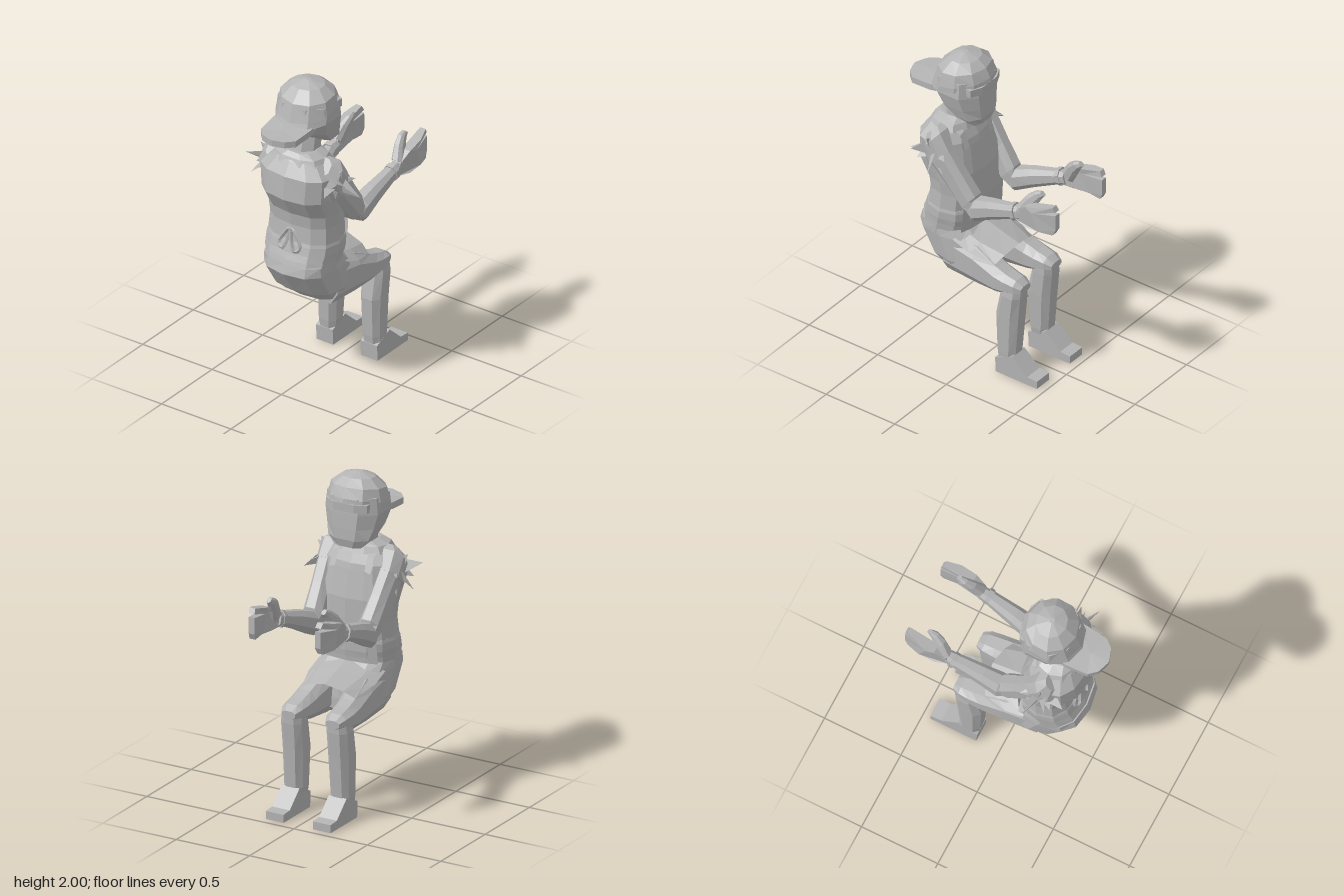
import * as THREE from 'three';

const grey = new THREE.MeshStandardMaterial({ color: 0xb4b4b4, flatShading: true });
grey.name = 'plain grey';
const sheet = new THREE.MeshStandardMaterial({ color: 0xb4b4b4, flatShading: true, side: THREE.DoubleSide });
sheet.name = 'plain grey sheet';

// Ring of n points around c; rx runs along x, v = [y, z] is the other half axis.
function ring(c, rx, v, n = 8, pow = 1, turn = 0.5) {
  const bend = (t) => Math.sign(t) * Math.pow(Math.abs(t), pow);
  return Array.from({ length: n }, (_, i) => {
    const a = ((i + turn) / n) * Math.PI * 2;
    const p = bend(Math.cos(a)), q = bend(Math.sin(a));
    return [c[0] + rx * p, c[1] + v[0] * q, c[2] + v[1] * q];
  });
}

// Horizontal ring given by its front (-z) and back (+z) limits; lift raises the front.
const level = (y, front, back, half, n, pow, turn, lift = 0) =>
  ring([0, y, (front + back) / 2], half, [-lift, (back - front) / 2], n, pow, turn);

// Closed skin over rings, always facing outwards.
function loft(rings) {
  const n = rings[0].length, pts = rings.flat(), idx = [];
  for (let r = 0; r < rings.length - 1; r++) {
    for (let i = 0; i < n; i++) {
      const a = r * n + i, b = r * n + ((i + 1) % n);
      idx.push(a, b, b + n, a, b + n, a + n);
    }
  }
  [0, rings.length - 1].forEach((r, end) => {
    const mid = pts.length;
    pts.push([0, 1, 2].map((k) => rings[r].reduce((s, p) => s + p[k], 0) / n));
    for (let i = 0; i < n; i++) {
      const a = r * n + i, b = r * n + ((i + 1) % n);
      idx.push(...(end ? [a, b, mid] : [b, a, mid]));
    }
  });
  const v = pts.map((p) => new THREE.Vector3(...p));
  let volume = 0;
  for (let i = 0; i < idx.length; i += 3) {
    volume += v[idx[i]].dot(v[idx[i + 1]].clone().cross(v[idx[i + 2]]));
  }
  if (volume < 0) idx.reverse();
  const g = new THREE.BufferGeometry().setFromPoints(v);
  g.setIndex(idx);
  g.computeVertexNormals();
  return g;
}

// Open sheet over rows of points.
function drape(rows) {
  const n = rows[0].length, idx = [];
  for (let r = 0; r < rows.length - 1; r++) {
    for (let i = 0; i < n - 1; i++) {
      const a = r * n + i;
      idx.push(a, a + 1, a + n + 1, a, a + n + 1, a + n);
    }
  }
  const g = new THREE.BufferGeometry().setFromPoints(rows.flat().map((p) => new THREE.Vector3(...p)));
  g.setIndex(idx);
  g.computeVertexNormals();
  return g;
}

// Side outline as [distance towards -z, y], extruded across x.
function sideCut(outline, x, width) {
  const shape = new THREE.Shape(outline.map((p) => new THREE.Vector2(...p)));
  const g = new THREE.ExtrudeGeometry(shape, { depth: width, bevelEnabled: false });
  return g.rotateY(Math.PI / 2).translate(x - width / 2, 0, 0);
}

function mirror(geometry) {
  const g = geometry.index ? geometry.toNonIndexed() : geometry.clone();
  g.scale(-1, 1, 1);
  const p = g.attributes.position;
  for (let i = 0; i < p.count; i += 3) {
    const a = new THREE.Vector3().fromBufferAttribute(p, i + 1);
    const b = new THREE.Vector3().fromBufferAttribute(p, i + 2);
    p.setXYZ(i + 1, b.x, b.y, b.z);
    p.setXYZ(i + 2, a.x, a.y, a.z);
  }
  g.computeVertexNormals();
  return g;
}

export function createModel() {
  const model = new THREE.Group();
  model.name = 'seatedFigure';
  const add = (name, g, material = grey) => {
    const m = new THREE.Mesh(g, material);
    m.name = name;
    model.add(m);
  };
  const pair = (name, g, material) => {
    add(name + 'Left', g, material);
    add(name + 'Right', mirror(g), material);
  };

  // Torso, pelvis and neck
  const body = [[0.8, 0.1, 0.48, 0.225], [0.96, 0.085, 0.42, 0.235], [1.1, 0.08, 0.405, 0.225],
    [1.18, 0.085, 0.415, 0.23], [1.3, 0.1, 0.485, 0.24], [1.45, 0.14, 0.472, 0.25],
    [1.53, 0.18, 0.42, 0.17], [1.56, 0.2, 0.385, 0.1]];
  add('torso', loft(body.map(([y, f, b, w]) => level(y, f, b, w, 12, 0.8, 0))));
  add('pelvis', loft([[0.86, 0.1, 0.465, 0.225], [0.8, 0.02, 0.485, 0.23], [0.65, 0, 0.385, 0.228],
    [0.58, 0, 0.3, 0.2], [0.53, 0.05, 0.22, 0.1]].map(([y, f, b, w]) => level(y, f, b, w, 12, 0.75, 0))));
  add('neck', loft([level(1.5, 0.19, 0.385, 0.1, 8), level(1.72, 0.145, 0.325, 0.09, 8)]));
  add('collar', loft([level(1.51, 0.16, 0.43, 0.19, 10, 0.8, 0), level(1.55, 0.18, 0.41, 0.165, 10, 0.8, 0),
    level(1.575, 0.2, 0.385, 0.1, 10, 0.8, 0)]));
  add('waistBand', loft([[0.89, 0.078, 0.46, 0.233], [0.93, 0.073, 0.442, 0.238], [0.98, 0.073, 0.426, 0.238],
    [1.0, 0.078, 0.418, 0.232]].map(([y, f, b, w]) => level(y, f, b, w, 12, 0.8, 0))));

  // Head with flat face and brow band
  add('head', loft([[1.57, 0.08, 0.16, 0.095], [1.62, 0.062, 0.25, 0.145], [1.69, 0.06, 0.35, 0.168],
    [1.78, 0.062, 0.4, 0.19], [1.88, 0.07, 0.39, 0.178]].map(([y, f, b, w]) =>
    level(y, f, b, w, 8, 0.8, 0.5))));
  add('browBand', loft([1.8, 1.85].map((y) => level(y, 0.055, 0.2, 0.15, 8, 0.8))));

  // Cap worn backwards
  add('cap', loft([level(1.8, 0.05, 0.445, 0.19, 10, 1, 0.5, 0.055), level(1.835, 0.055, 0.425, 0.189, 10, 1, 0.5, 0.045),
    level(1.92, 0.085, 0.39, 0.17, 10, 1, 0.5, 0.02), level(1.975, 0.14, 0.325, 0.105, 10, 1, 0.5, 0.005),
    level(2.0, 0.22, 0.25, 0.02, 10)]));
  const brim = [[0.605, 0.01], [0.58, 0.08], [0.53, 0.125], [0.39, 0.137], [0.33, 0.13]];
  const brimPlate = (lift) => [...brim.map(([z, x]) => [x, z]), ...[...brim].reverse().map(([z, x]) => [-x, z])]
    .map(([x, z]) => [x, 1.745 + lift + (0.6 - z) * 0.13 - x * x * 0.8, z]);
  add('capBrim', loft([brimPlate(-0.025), brimPlate(0.015)]));

  // Legs and shoes
  pair('thigh', loft([[0.24, 0.12, 0.69, 0.1, 0.155], [0.02, 0.135, 0.665, 0.095, 0.135],
    [-0.13, 0.148, 0.63, 0.084, 0.092], [-0.2, 0.15, 0.625, 0.08, 0.07], [-0.27, 0.15, 0.625, 0.072, 0.05],
    [-0.315, 0.15, 0.62, 0.05, 0.025]]
    .map(([z, x, y, rx, ry]) => ring([x, y, z], rx, [ry, 0], 8, 0.8))));
  pair('shin', loft([[0.64, 0.15, -0.24, 0.065, 0.07], [0.56, 0.155, -0.235, 0.075, 0.075], [0.4, 0.155, -0.212, 0.074, 0.085],
    [0.15, 0.158, -0.207, 0.067, 0.07], [0.09, 0.16, -0.2, 0.06, 0.055]]
    .map(([y, x, z, rx, rz]) => ring([x, y, z], rx, [0, rz], 8, 0.75))));
  pair('shoe', sideCut([[0.15, 0], [0.45, 0], [0.45, 0.05], [0.38, 0.055], [0.27, 0.155], [0.145, 0.1]], 0.16, 0.12));

  // Apron: lap panel, bib and shoulder straps
  const across = [-1, -0.65, 0, 0.65, 1];
  add('apronLap', drape([[0.12, 0.87, 0.225, 0.06], [0.0, 0.835, 0.225, 0.07], [-0.155, 0.79, 0.18, 0.065]]
    .map(([z, y, w, drop]) => across.map((t) => [t * w, y - drop * t * t, z + 0.04 * t * t]))), sheet);
  add('apronBib', drape([[0.86, 0.085, 0.2], [1.05, 0.07, 0.19], [1.25, 0.08, 0.175], [1.42, 0.118, 0.145]]
    .map(([y, z, w]) => across.map((t) => [t * w, y, z + 0.035 * t * t * (w / 0.2)]))), sheet);
  pair('apronStrap', drape([[1.42, 0.13], [1.51, 0.17], [1.558, 0.25], [1.55, 0.37]]
    .map(([y, z]) => [[0.1, y, z], [0.14, y - 0.012, z]])), sheet);

  // Bow on the back
  const loop = new THREE.CatmullRomCurve3([[0.005, 1.075, 0.407], [0.045, 1.03, 0.408], [0.075, 0.965, 0.418],
    [0.045, 0.94, 0.433], [0.02, 0.98, 0.425]].map((p) => new THREE.Vector3(...p)), true);
  pair('bowLoop', new THREE.TubeGeometry(loop, 16, 0.012, 4, true));

  // Arms: each ring lies square to the limb
  const limb = (list) => loft(list.map(([x, y, z, rx, r, tilt]) =>
    ring([x, y, z], rx, [r * Math.cos(tilt), r * Math.sin(tilt)], 8, 0.85)));
  pair('upperArm', limb([[0.2, 1.46, 0.31, 0.06, 0.07, -0.8], [0.21, 1.39, 0.26, 0.065, 0.1, -0.8],
    [0.2, 1.25, 0.15, 0.063, 0.085, -0.8], [0.19, 1.12, 0.05, 0.068, 0.08, -0.7], [0.19, 1.08, -0.0, 0.06, 0.065, 0]]));
  pair('forearm', limb([[0.19, 1.085, 0.04, 0.055, 0.05, -0.3], [0.195, 1.085, 0, 0.07, 0.08, 0], [0.205, 1.14, -0.12, 0.058, 0.063, 0.3],
    [0.218, 1.2, -0.28, 0.044, 0.047, 0.3], [0.22, 1.215, -0.34, 0.038, 0.047, 0.3]]));
  pair('wristBand', limb([[0.222, 1.2, -0.28, 0.048, 0.055, 0.3], [0.222, 1.21, -0.308, 0.048, 0.055, 0.3]]));

  // Hands: flat cut palm and fingers, curved inwards towards the tips
  const hand = sideCut([[0.31, 1.175], [0.4, 1.165], [0.5, 1.175], [0.585, 1.17], [0.605, 1.21], [0.603, 1.312],
    [0.455, 1.288], [0.602, 1.335], [0.585, 1.365], [0.5, 1.34], [0.4, 1.31], [0.33, 1.255]], 0, 0.06);
  const p = hand.attributes.position;
  for (let i = 0; i < p.count; i++) {
    const d = -p.getZ(i);
    p.setX(i, p.getX(i) * (d > 0.55 ? 0.65 : 1) + 0.248 - (d > 0.46 ? 1.1 : 1.3) * (d - 0.46) ** 2);
  }
  hand.computeVertexNormals();
  pair('hand', hand);
  pair('thumb', limb([[0.222, 1.24, -0.355, 0.042, 0.05, 0.9], [0.2, 1.32, -0.4, 0.032, 0.042, 0.9],
    [0.187, 1.365, -0.44, 0.024, 0.03, 0.9], [0.187, 1.385, -0.47, 0.015, 0.02, 0.9]]));

  // Torn sleeves: shoulder cap with broad ragged points
  pair('sleeve', limb([[0.17, 1.51, 0.33, 0.06, 0.06, -0.7], [0.2, 1.46, 0.31, 0.085, 0.11, -0.7],
    [0.205, 1.36, 0.25, 0.078, 0.11, -0.8]]));
  const root = new THREE.Vector3(0.22, 1.42, 0.29);
  [[0.375, 1.325, 0.235], [0.36, 1.45, 0.365], [0.295, 1.51, 0.3], [0.295, 1.35, 0.37],
    [0.265, 1.38, 0.44], [0.295, 1.4, 0.17], [0.275, 1.28, 0.2]].forEach((t, i) => {
    const way = new THREE.Vector3(...t).sub(root);
    const g = new THREE.ConeGeometry(0.07, way.length(), 3).scale(1, 1, 0.25).translate(0, way.length() / 2, 0);
    g.applyQuaternion(new THREE.Quaternion().setFromUnitVectors(new THREE.Vector3(0, 1, 0), way.normalize()));
    pair('sleevePoint' + (i + 1), g.translate(...root.toArray()));
  });
  return model;
}
